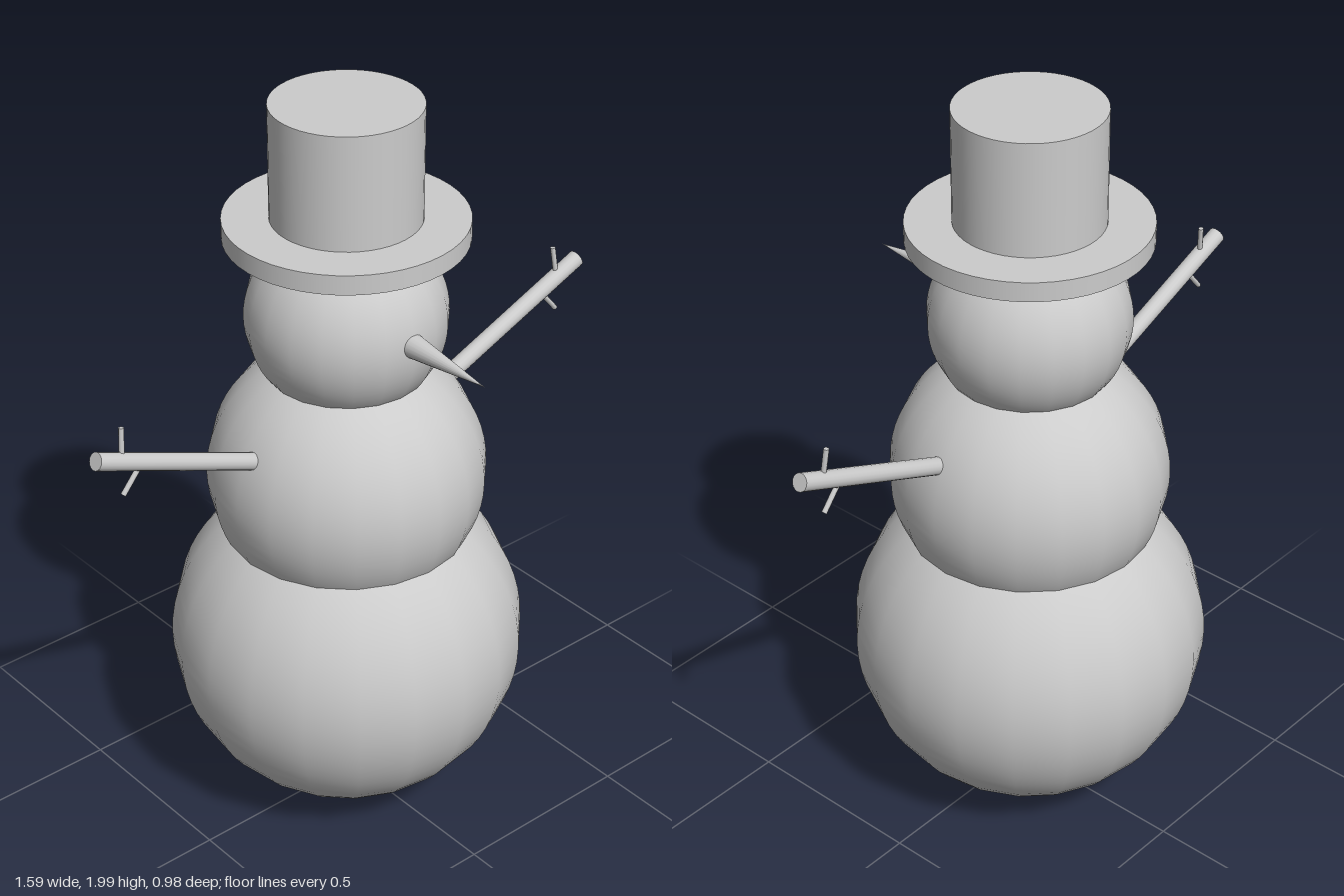
import * as THREE from 'three';

const material = new THREE.MeshStandardMaterial({ color: 0xcccccc });
const BODY_Z = -0.022;

function add(parent, name, geometry, x = 0, y = 0, z = 0) {
  const mesh = new THREE.Mesh(geometry, material);
  mesh.name = name;
  mesh.position.set(x, y, z);
  parent.add(mesh);
  return mesh;
}

// Round stick running from point a to point b
function addStick(parent, name, a, b, radius, sides) {
  const from = new THREE.Vector3(...a);
  const dir = new THREE.Vector3(...b).sub(from);
  const length = dir.length();
  const geometry = new THREE.CylinderGeometry(radius, radius, length, sides);
  geometry.translate(0, length / 2, 0);
  const mesh = add(parent, name, geometry, ...a);
  mesh.quaternion.setFromUnitVectors(new THREE.Vector3(0, 1, 0), dir.normalize());
}

export function createModel() {
  const model = new THREE.Group();
  model.name = 'snowman';

  // Three stacked snowballs
  const balls = [
    ['lowerBody', 0.468, 0.474],
    ['upperBody', 0.362, 0.977],
    ['head', 0.258, 1.43],
  ];
  for (const [name, radius, y] of balls) {
    add(model, name, new THREE.SphereGeometry(radius, 20, 32), 0, y, BODY_Z);
  }

  // Top hat
  const hat = new THREE.Group();
  hat.name = 'hat';
  hat.position.z = BODY_Z;
  model.add(hat);
  add(hat, 'hatBrim', new THREE.CylinderGeometry(0.307, 0.307, 0.052, 48), 0, 1.674, 0);
  add(hat, 'hatCrown', new THREE.CylinderGeometry(0.19, 0.19, 0.32, 48), 0, 1.84, 0);

  // Carrot nose pointing forward
  const nose = add(model, 'nose', new THREE.ConeGeometry(0.035, 0.29, 20), 0, 1.444, 0.34);
  nose.rotation.x = Math.PI / 2;

  // Stick arms, each with two twigs
  for (const [name, s, z] of [['leftArm', 1, 0.001], ['rightArm', -1, -0.006]]) {
    const arm = new THREE.Group();
    arm.name = name;
    arm.position.z = z;
    model.add(arm);
    addStick(arm, 'branch', [s * 0.322, 1.132, 0], [s * 0.784, 1.322, 0], 0.023, 16);
    addStick(arm, 'upperTwig', [s * 0.71, 1.29, 0], [s * 0.701, 1.378, -0.008], 0.007, 8);
    addStick(arm, 'lowerTwig', [s * 0.645, 1.275, 0], [s * 0.711, 1.197, 0], 0.007, 8);
  }

  return model;
}
